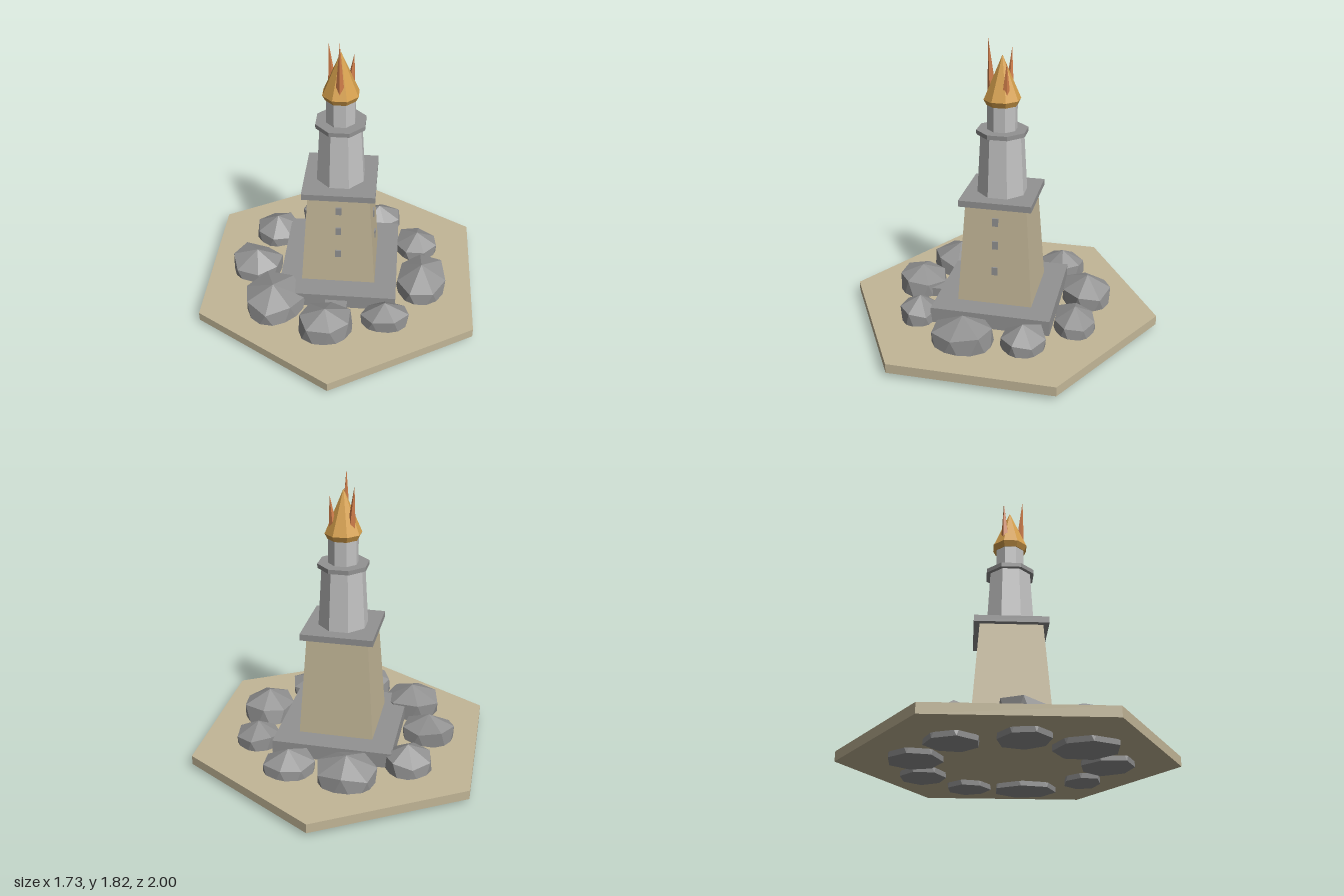
import * as THREE from 'three';

const mat = (name, color) => {
  const m = new THREE.MeshStandardMaterial({ color, flatShading: true });
  m.name = name;
  return m;
};

export function createModel() {
  const model = new THREE.Group();
  model.name = 'lighthouse';
  const sand = mat('sandstone', 0xc2b697);
  const pale = mat('pale stone', 0xc2c2c2);
  const grey = mat('grey stone', 0x929292);
  const rockGrey = mat('rock', 0x929292);
  const gold = mat('golden fire', 0xd6a04c);
  const copper = mat('orange flame', 0xd07e4a);

  const add = (name, geo, material, x = 0, y = 0, z = 0, parent = model) => {
    const mesh = new THREE.Mesh(geo, material);
    mesh.name = name;
    mesh.position.set(x, y, z);
    parent.add(mesh);
    return mesh;
  };
  // prism between two heights, with a flat side facing the front
  const prism = (name, rTop, rBottom, y0, y1, sides, material) => {
    const geo = new THREE.CylinderGeometry(rTop, rBottom, y1 - y0, sides);
    geo.rotateY(Math.PI / sides);
    return add(name, geo, material, 0, (y0 + y1) / 2, 0);
  };
  const box = (name, w, d, y0, y1, material, z = 0) =>
    add(name, new THREE.BoxGeometry(w, y1 - y0, d), material, 0, (y0 + y1) / 2, z);

  // ground slab, plinth and front step
  add('groundSlab', new THREE.CylinderGeometry(1, 1, 0.06, 6), sand, 0, 0.06, 0);
  box('plinth', 0.75, 0.75, 0.09, 0.19, grey);
  box('frontStep', 0.14, 0.12, 0.09, 0.15, grey, 0.42);

  // three tower stages and their ledges
  prism('lowerTower', 0.19 * Math.SQRT2, 0.235 * Math.SQRT2, 0.19, 0.83, 4, sand);
  box('lowerLedge', 0.45, 0.45, 0.83, 0.87, grey);
  prism('middleTower', 0.135, 0.157, 0.87, 1.245, 8, pale);
  prism('middleLedge', 0.16, 0.16, 1.245, 1.272, 8, grey);
  prism('lantern', 0.093, 0.093, 1.272, 1.43, 8, pale);

  // windows on the front and on the -x-to-+x turned side face
  const windows = new THREE.Group();
  windows.name = 'windows';
  model.add(windows);
  for (const y of [0.412, 0.585, 0.735]) {
    const r = 0.235 - 0.045 * (y - 0.19) / 0.64;
    add('frontWindow', new THREE.BoxGeometry(0.036, 0.052, 0.014), grey, 0, y, r + 0.001, windows);
    add('sideWindow', new THREE.BoxGeometry(0.014, 0.052, 0.036), grey, r + 0.001, y, 0, windows);
  }

  // fire bowl, main flame and three leaning flame tongues
  prism('fireBowl', 0.115, 0.097, 1.425, 1.46, 8, gold);
  prism('mainFlame', 0, 0.113, 1.46, 1.725, 8, gold);
  [[0, 1.82], [Math.PI * 2 / 3, 1.695], [-Math.PI * 2 / 3, 1.755]].forEach(([a, tip]) => {
    const h = tip - 1.47;
    const geo = new THREE.ConeGeometry(0.03, h, 5);
    geo.translate(0, h / 2, 0);
    const p = geo.attributes.position;
    for (let i = 0; i < p.count; i++) p.setZ(i, p.getZ(i) + 0.062 + 0.023 * p.getY(i) / h);
    geo.rotateY(a);
    add('flameTongue', geo, copper, 0, 1.47, 0);
  });

  // rocks: flat base ring, twisted shoulder ring, low peak
  let seed = 7;
  const rand = () => (seed = (seed * 16807) % 2147483647) / 2147483647;
  const rockGeometry = (rx, rz, height) => {
    const n = 7, pos = [], idx = [], turn = rand() * 6.28;
    for (let ring = 0; ring < 2; ring++) {
      for (let i = 0; i < n; i++) {
        const a = turn + ((i + ring * 0.5) / n) * Math.PI * 2;
        const k = 0.88 + rand() * 0.16;
        const y = ring ? height * (0.58 + rand() * 0.2) : 0;
        pos.push(Math.sin(a) * rx * k, y, Math.cos(a) * rz * k);
      }
    }
    pos.push(0, height, 0, 0, 0, 0);
    for (let i = 0; i < n; i++) {
      const j = (i + 1) % n;
      idx.push(i, j, n + i, j, n + j, n + i, n + i, n + j, 2 * n, j, i, 2 * n + 1);
    }
    const geo = new THREE.BufferGeometry();
    geo.setAttribute('position', new THREE.Float32BufferAttribute(pos, 3));
    geo.setIndex(idx);
    geo.computeVertexNormals();
    return geo;
  };
  const rocks = new THREE.Group();
  rocks.name = 'rocks';
  model.add(rocks);
  // x, z, radius in x, radius in z, height
  [
    [-0.13, -0.54, 0.19, 0.16, 0.26], [0.235, -0.51, 0.16, 0.14, 0.235],
    [0.505, -0.235, 0.15, 0.14, 0.235], [0.535, 0.125, 0.175, 0.2, 0.265],
    [0.31, 0.46, 0.155, 0.12, 0.235], [-0.055, 0.555, 0.18, 0.17, 0.25],
    [-0.4, 0.385, 0.195, 0.19, 0.265], [-0.555, 0.045, 0.17, 0.15, 0.25],
    [-0.47, -0.325, 0.155, 0.16, 0.245],
  ].forEach(([x, z, rx, rz, h]) => add('rock', rockGeometry(rx, rz, h), rockGrey, x, 0, z, rocks));

  return model;
}
